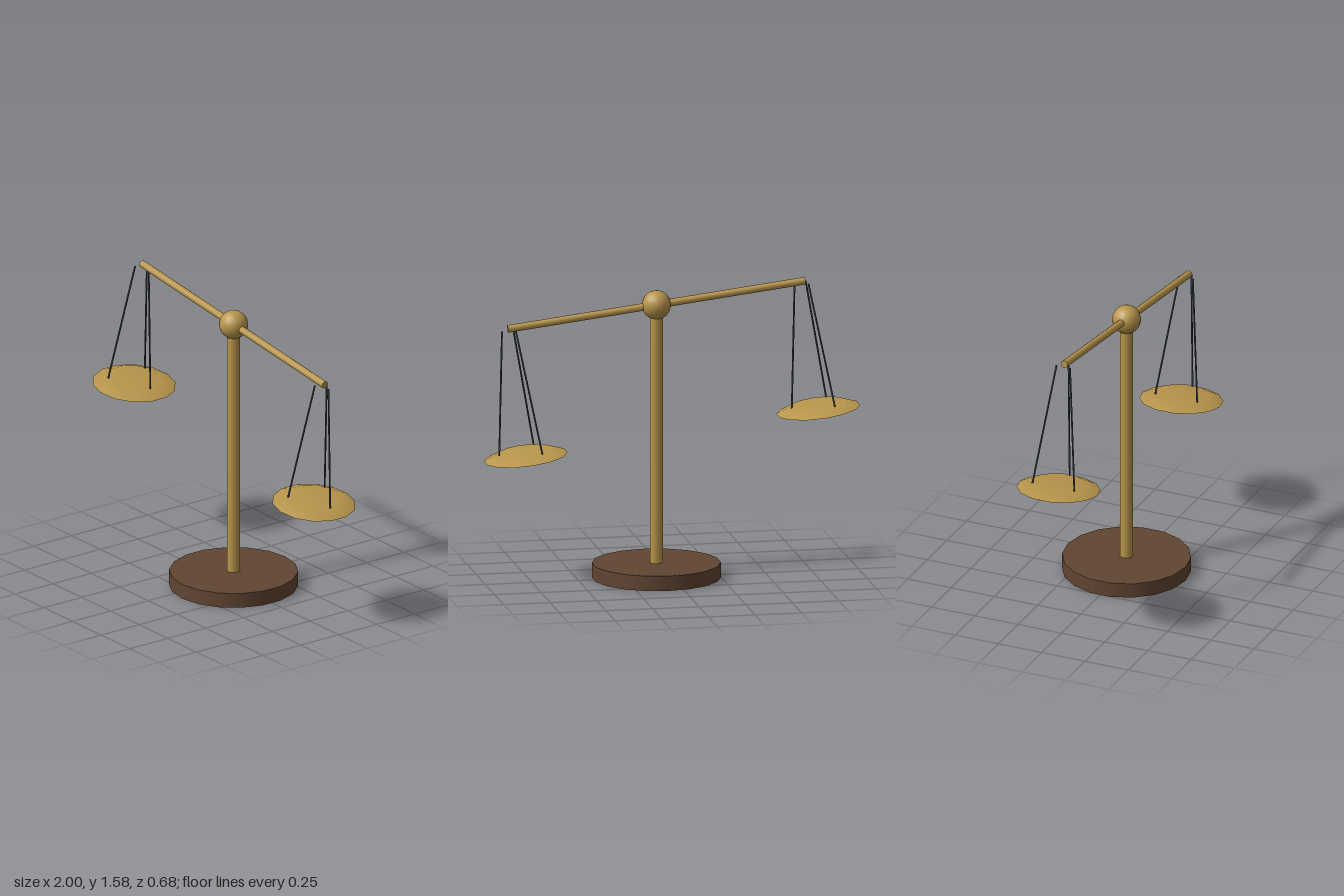
import * as THREE from 'three';

export function createModel() {
  const brass = new THREE.MeshStandardMaterial({ color: 0xb8954b });
  brass.name = 'brass';
  const wood = new THREE.MeshStandardMaterial({ color: 0x614533 });
  wood.name = 'darkWood';
  const steel = new THREE.MeshStandardMaterial({ color: 0x3d4248 });
  steel.name = 'darkSteel';

  const model = new THREE.Group();
  model.name = 'balanceScale';

  const add = (parent, name, geometry, material, x = 0, y = 0, z = 0) => {
    const mesh = new THREE.Mesh(geometry, material);
    mesh.name = name;
    mesh.position.set(x, y, z);
    parent.add(mesh);
    return mesh;
  };

  const centreX = 0.083;
  const pivotY = 1.468;

  // Stand: round foot, post and pivot ball
  add(model, 'base', new THREE.CylinderGeometry(0.34, 0.34, 0.08, 18), wood, centreX, 0.04);
  add(model, 'post', new THREE.CylinderGeometry(0.035, 0.035, pivotY - 0.08, 12), brass, centreX, (pivotY + 0.08) / 2);
  add(model, 'pivotBall', new THREE.SphereGeometry(0.077, 16, 12), brass, centreX, pivotY);

  // Tilted balance: beam, cords and pans turn together
  const balance = new THREE.Group();
  balance.name = 'balance';
  balance.position.set(centreX, pivotY, 0);
  balance.rotation.z = -0.12;
  model.add(balance);

  add(balance, 'beam', new THREE.CylinderGeometry(0.02, 0.02, 1.605, 10), brass).rotation.z = Math.PI / 2;

  // Shallow domed pan with a closed underside
  const panProfile = [[0.222, 0], [0.15, 0.03], [0, 0.03]].map(([r, y]) => new THREE.Vector2(r, y));
  const panGeometry = new THREE.LatheGeometry(panProfile, 14);
  const undersideGeometry = new THREE.CircleGeometry(0.222, 14, Math.PI / 2).rotateX(Math.PI / 2);

  const up = new THREE.Vector3(0, 1, 0);
  for (const [side, sign] of [['left', 1], ['right', -1]]) {
    const hanger = new THREE.Group();
    hanger.name = side + 'Hanger';
    hanger.position.x = sign * 0.79;
    balance.add(hanger);

    add(hanger, side + 'Pan', panGeometry, brass, 0, -0.7);
    add(hanger, side + 'PanUnderside', undersideGeometry, brass, 0, -0.7);

    // Three cords spreading from the beam end to the pan
    for (let i = 0; i < 3; i++) {
      const a = (i * Math.PI * 2) / 3;
      const top = new THREE.Vector3(Math.cos(a) * 0.045, -0.01, Math.sin(a) * 0.045);
      const bottom = new THREE.Vector3(Math.cos(a) * 0.14, -0.675, Math.sin(a) * 0.14);
      const direction = top.clone().sub(bottom);
      const cord = add(hanger, side + 'Cord' + (i + 1),
        new THREE.CylinderGeometry(0.005, 0.005, direction.length(), 6), steel);
      cord.position.copy(top).add(bottom).multiplyScalar(0.5);
      cord.quaternion.setFromUnitVectors(up, direction.normalize());
    }
  }

  return model;
}
